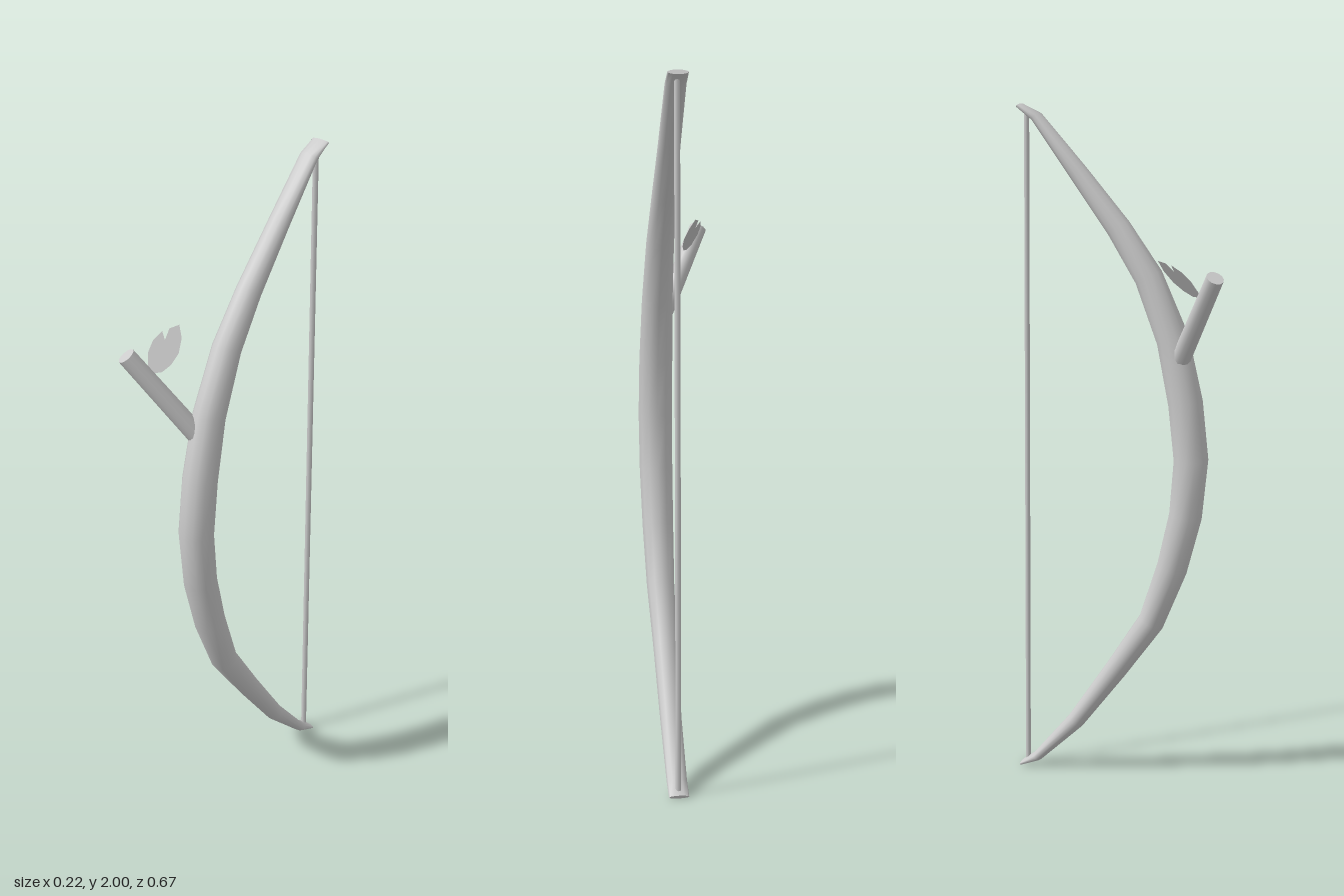
import * as THREE from 'three';

const X = 0.057; // bow plane
const SIDES = 12;
const grey = () => new THREE.MeshStandardMaterial({ color: 0xcccccc });
const mesh = (name, geo, mat = grey()) => {
  const m = new THREE.Mesh(geo, mat);
  m.name = name;
  return m;
};

// Tapered tube in the y-z plane; rings are [y, z, half width, half depth]
function limbGeometry(rings) {
  const pos = [], idx = [], n = rings.length;
  rings.forEach(([y, z, w, d], i) => {
    const a = rings[Math.max(i - 1, 0)], b = rings[Math.min(i + 1, n - 1)];
    const len = Math.hypot(b[0] - a[0], b[1] - a[1]);
    const ty = (b[0] - a[0]) / len, tz = (b[1] - a[1]) / len;
    for (let k = 0; k < SIDES; k++) {
      const t = (k / SIDES) * Math.PI * 2;
      const out = Math.sin(t) * d;
      pos.push(X + Math.cos(t) * w, y - tz * out, z + ty * out);
    }
  });
  for (let i = 0; i < n - 1; i++) {
    for (let k = 0; k < SIDES; k++) {
      const a = i * SIDES + k, b = i * SIDES + (k + 1) % SIDES;
      idx.push(a, a + SIDES, b, b, a + SIDES, b + SIDES);
    }
  }
  // end caps use their own vertices to keep a sharp rim
  for (const end of [0, n - 1]) {
    const base = pos.length / 3;
    for (let k = 0; k < SIDES * 3; k++) pos.push(pos[end * SIDES * 3 + k]);
    for (let k = 1; k < SIDES - 1; k++) {
      if (end) idx.push(base, base + k + 1, base + k);
      else idx.push(base, base + k, base + k + 1);
    }
  }
  const g = new THREE.BufferGeometry();
  g.setAttribute('position', new THREE.Float32BufferAttribute(pos, 3));
  g.setIndex(idx);
  g.computeVertexNormals();
  return g;
}

// Straight rod between two points
function rod(name, from, to, r0, r1, sides) {
  const dir = to.clone().sub(from);
  const m = mesh(name, new THREE.CylinderGeometry(r1, r0, dir.length(), sides));
  m.position.copy(from).add(to).multiplyScalar(0.5);
  m.quaternion.setFromUnitVectors(new THREE.Vector3(0, 1, 0), dir.normalize());
  return m;
}

export function createModel() {
  const bow = new THREE.Group();
  bow.name = 'bow';

  // Curved stave, bottom tip to top tip
  bow.add(mesh('stave', limbGeometry([
    [0.009, -0.332, 0.0285, 0.006],
    [0.035, -0.283, 0.029, 0.015],
    [0.167, -0.157, 0.031, 0.026],
    [0.345, -0.028, 0.035, 0.033],
    [0.505, 0.082, 0.041, 0.039],
    [0.675, 0.145, 0.046, 0.046],
    [0.836, 0.185, 0.049, 0.049],
    [1.0, 0.2, 0.05, 0.051],
    [1.165, 0.182, 0.049, 0.051],
    [1.345, 0.143, 0.045, 0.048],
    [1.52, 0.07, 0.04, 0.042],
    [1.655, -0.02, 0.035, 0.036],
    [1.81, -0.143, 0.031, 0.027],
    [1.963, -0.268, 0.029, 0.015],
    [1.993, -0.318, 0.0285, 0.007],
  ])));

  // Bow string
  bow.add(rod('string', new THREE.Vector3(X, 0.015, -0.316),
    new THREE.Vector3(X, 1.985, -0.298), 0.008, 0.008, 8));

  // Side twig
  bow.add(rod('twig', new THREE.Vector3(0.05, 1.275, 0.162),
    new THREE.Vector3(-0.086, 1.541, 0.308), 0.028, 0.025, 12));

  // Flat notched leaf: outline in x and z, raised onto a sloping plane
  const outline = [
    [-0.054, 0.134], [-0.036, 0.145], [-0.025, 0.17], [-0.025, 0.2],
    [-0.032, 0.229], [-0.045, 0.25], [-0.059, 0.254], [-0.075, 0.236],
    [-0.08, 0.21], [-0.075, 0.179], [-0.061, 0.184], [-0.066, 0.16],
  ];
  const leaf = new THREE.ShapeGeometry(
    new THREE.Shape(outline.map(([x, z]) => new THREE.Vector2(x, -z))));
  const p = leaf.attributes.position;
  for (let i = 0; i < p.count; i++) {
    const x = p.getX(i), z = -p.getY(i);
    p.setXYZ(i, x, 1.49 - 0.75 * (z - 0.254) - 1.2 * (x + 0.055), z);
  }
  leaf.computeVertexNormals();
  const leafMat = grey();
  leafMat.side = THREE.DoubleSide;
  bow.add(mesh('leaf', leaf, leafMat));

  return bow;
}
